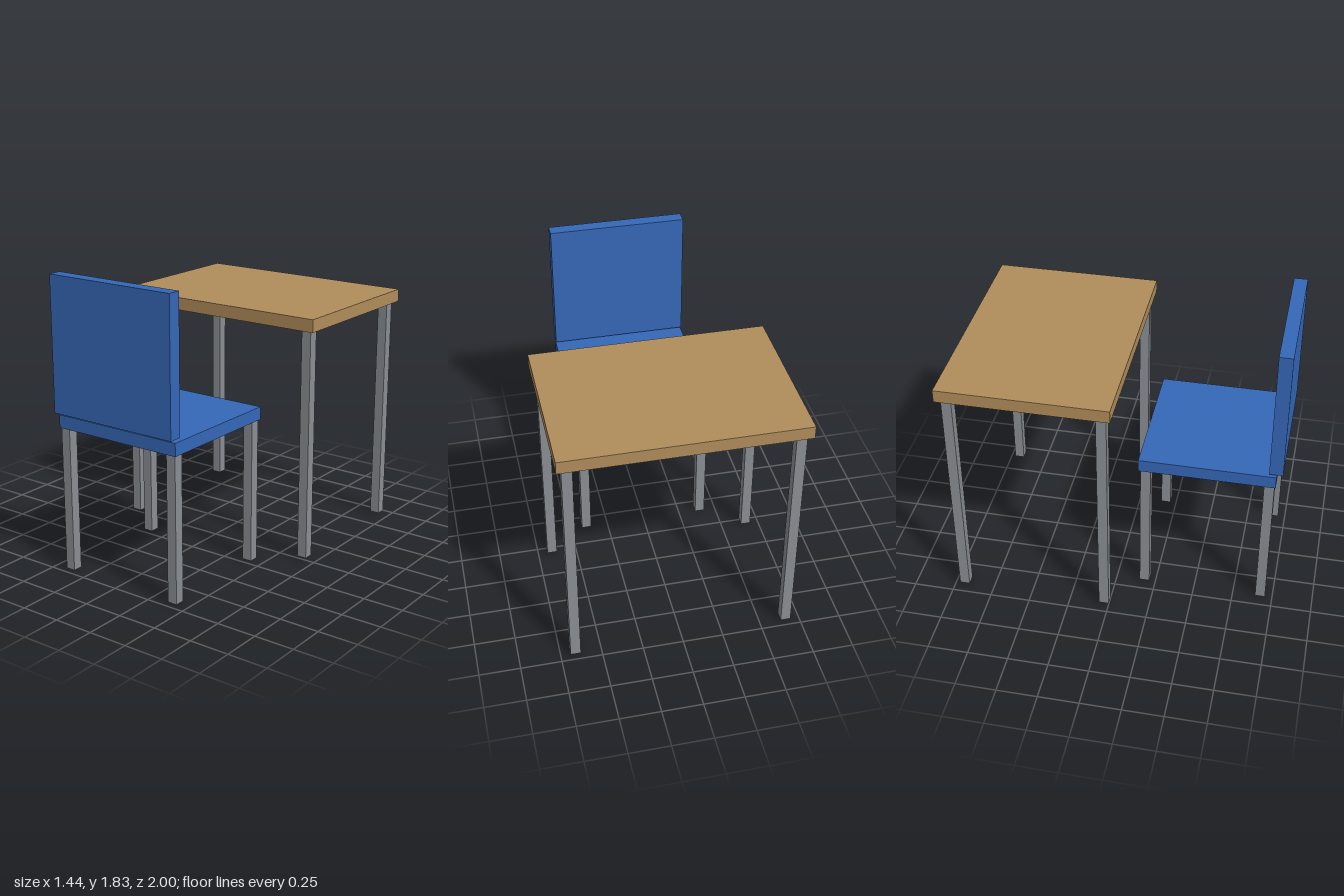
import * as THREE from 'three';

const mat = (name, color) => {
  const m = new THREE.MeshStandardMaterial({ color });
  m.name = name;
  return m;
};

// Box given by its extents along each axis
function slab(name, material, [x0, x1], [y0, y1], [z0, z1]) {
  const mesh = new THREE.Mesh(new THREE.BoxGeometry(x1 - x0, y1 - y0, z1 - z0), material);
  mesh.position.set((x0 + x1) / 2, (y0 + y1) / 2, (z0 + z1) / 2);
  mesh.name = name;
  return mesh;
}

// Four square legs, mirrored left and right
function addLegs(group, name, material, x, yRange, zFront, zBack) {
  const h = 0.031;
  for (const [side, s] of [['Left', 1], ['Right', -1]]) {
    for (const [end, z] of [['Front', zFront], ['Back', zBack]]) {
      group.add(slab(name + end + side, material, [s * x - h, s * x + h], yRange, [z - h, z + h]));
    }
  }
}

export function createModel() {
  const wood = mat('wood', 0xb08d5b);
  const blue = mat('blue plastic', 0x3568b8);
  const metal = mat('grey metal', 0x8a8f94);

  const model = new THREE.Group();
  model.name = 'deskAndChair';

  // Desk
  const desk = new THREE.Group();
  desk.name = 'desk';
  desk.add(slab('deskTop', wood, [-0.722, 0.722], [1.459, 1.538], [-1, 0.03]));
  addLegs(desk, 'deskLeg', metal, 0.66, [0.014, 1.459], -0.03, -0.938);

  // Chair, its backrest floating just above the seat
  const chair = new THREE.Group();
  chair.name = 'chair';
  chair.add(slab('seat', blue, [-0.432, 0.432], [0.902, 0.982], [0.135, 0.962]));
  chair.add(slab('backrest', blue, [-0.432, 0.432], [1.002, 1.829], [0.917, 1]));
  addLegs(chair, 'chairLeg', metal, 0.393, [0, 0.902], 0.924, 0.179);

  model.add(desk, chair);
  return model;
}
